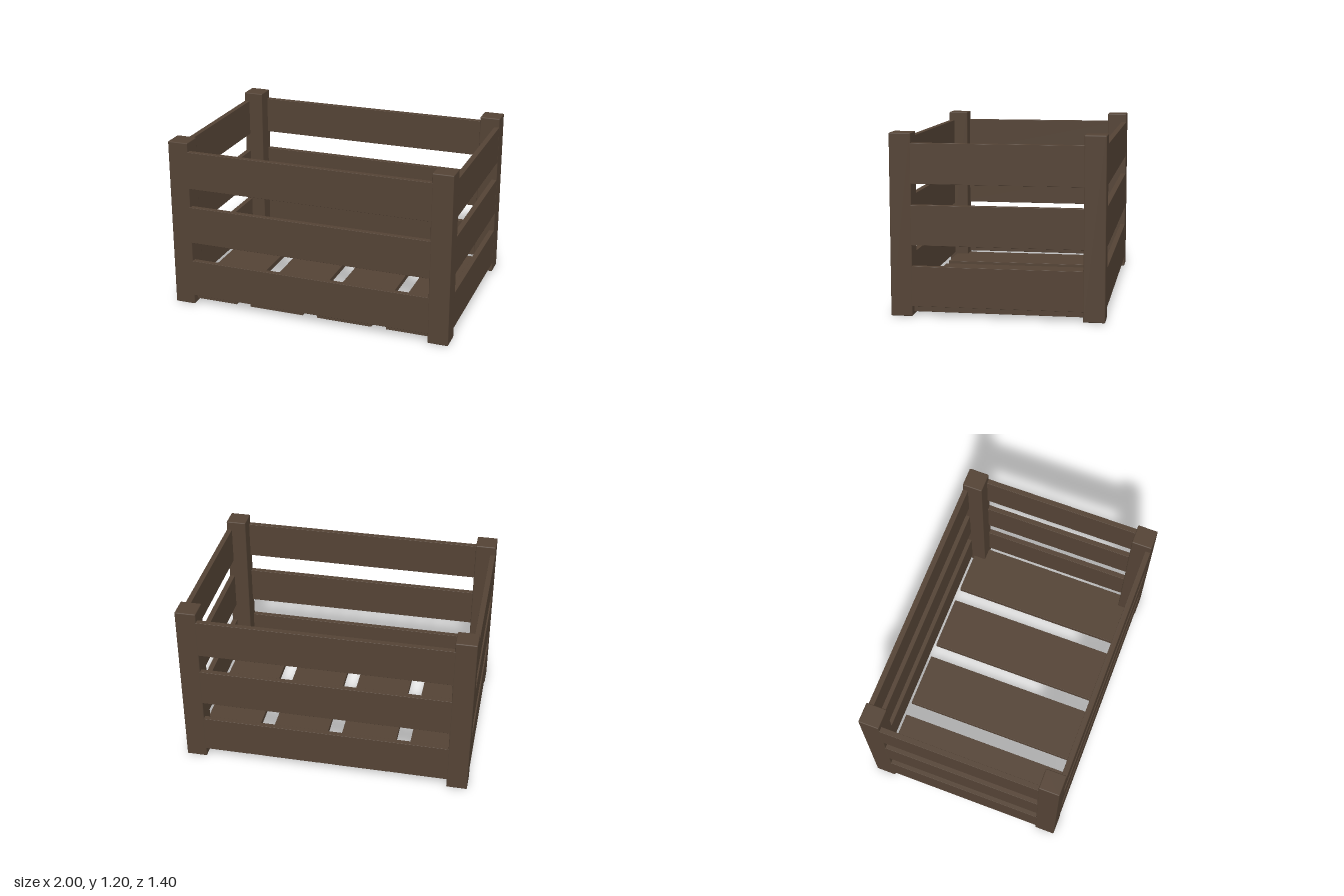
import * as THREE from 'three';
import { RoundedBoxGeometry } from 'three/addons/geometries/RoundedBoxGeometry.js';

const W = 2, H = 1.2, D = 1.4;   // overall crate size
const POST = 0.143;              // corner post thickness
const SLAT_H = 0.264, SLAT_T = 0.037;

export function createModel() {
  const crate = new THREE.Group();
  crate.name = 'crate';
  const wood = new THREE.MeshStandardMaterial({ color: 0x544335 });
  wood.name = 'dark brown wood';

  // Board with lightly eased edges, placed by its centre
  const board = (name, w, h, d, x, y, z, r) => {
    const mesh = new THREE.Mesh(new RoundedBoxGeometry(w, h, d, 2, r), wood);
    mesh.name = name;
    mesh.position.set(x, y, z);
    crate.add(mesh);
  };

  // Corner posts
  for (const sx of [-1, 1]) {
    for (const sz of [-1, 1]) {
      board('cornerPost', POST, H, POST, sx * (W - POST) / 2, H / 2, sz * (D - POST) / 2, 0.007);
    }
  }

  // Three rows of wall slats, their ends let into the posts
  for (const y of [0.2, 0.602, 1.003]) {
    for (const s of [-1, 1]) {
      board(s > 0 ? 'frontSlat' : 'backSlat', W - POST, SLAT_H, SLAT_T,
        0, y, s * (D / 2 - 0.001 - SLAT_T / 2), 0.002);
      board(s > 0 ? 'leftSlat' : 'rightSlat', SLAT_T, SLAT_H, D - POST,
        s * (W / 2 - 0.001 - SLAT_T / 2), y, 0, 0.002);
    }
  }

  // Floor planks
  for (const x of [-0.75, -0.25, 0.25, 0.75]) {
    board('floorPlank', 0.397, 0.038, 1.295, x, 0.041, 0, 0.002);
  }

  return crate;
}
